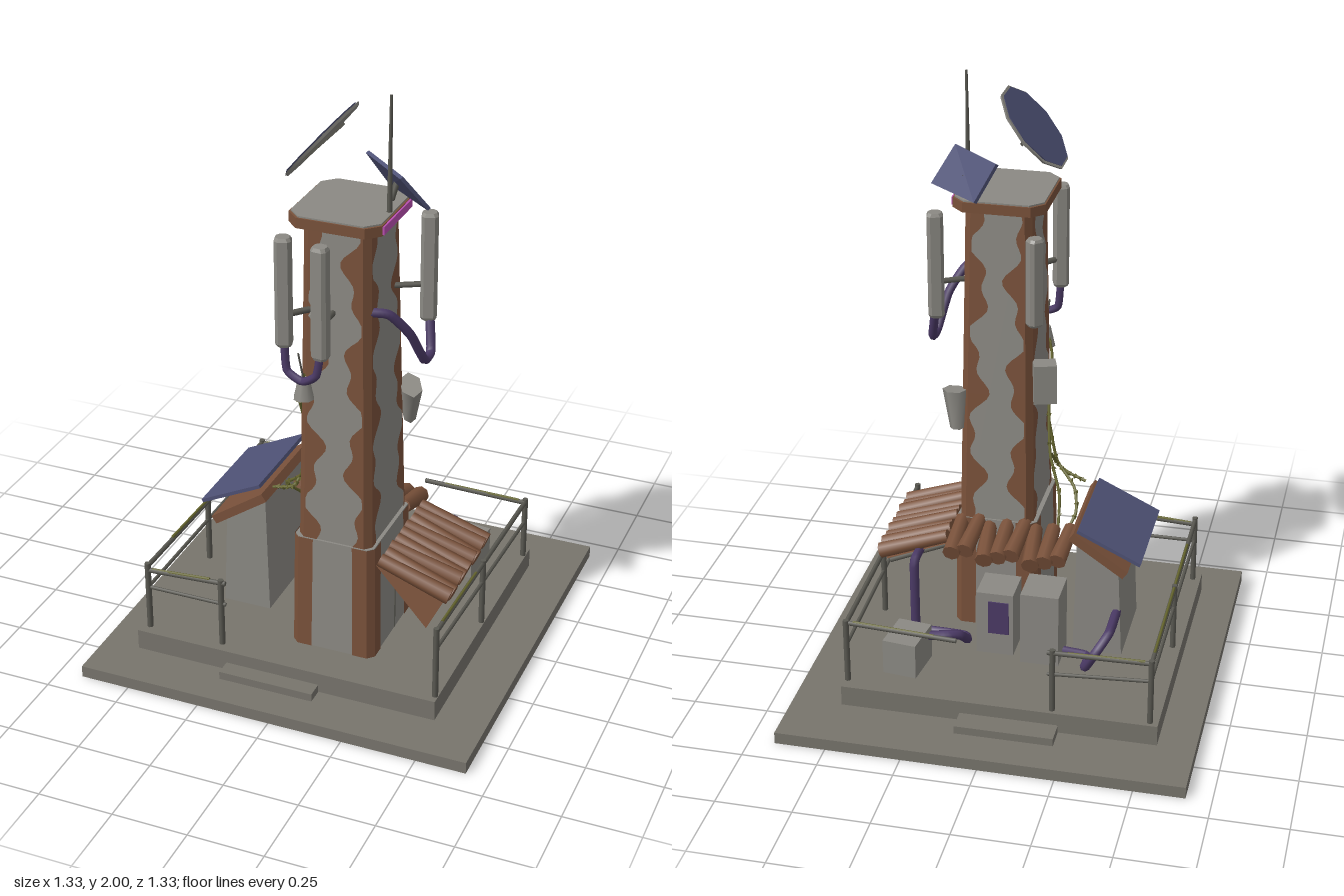
import * as THREE from 'three';

const V = (p) => new THREE.Vector3(...p);
const mat = (name, color, double) => {
  const m = new THREE.MeshStandardMaterial({ color, side: double ? THREE.DoubleSide : THREE.FrontSide });
  m.name = name;
  return m;
};

export function createModel() {
  const root = new THREE.Group();
  root.name = 'relayTower';
  const ground = mat('groundConcrete', 0x77746c);
  const wall = mat('paleConcrete', 0x8b8983, true);
  const rust = mat('rustBrown', 0x79513a, true);
  const navy = mat('solarNavy', 0x4e5175, true);
  const purple = mat('cablePurple', 0x4b3a66);
  const steel = mat('darkSteel', 0x5a5952);
  const moss = mat('mossOlive', 0x66662f, true);
  const pink = mat('signPink', 0xb94fb0);

  const add = (name, geo, m, pos = [0, 0, 0], rot = [0, 0, 0]) => {
    const o = new THREE.Mesh(geo, m);
    o.name = name;
    o.position.set(...pos);
    o.rotation.set(...rot);
    root.add(o);
    return o;
  };
  const box = (name, size, m, pos, rot) => add(name, new THREE.BoxGeometry(...size), m, pos, rot);
  // Round bar between two points
  const bar = (name, a, b, m, r0 = 0.008, r1 = r0, sides = 6) => {
    const d = V(b).sub(V(a));
    const g = new THREE.CylinderGeometry(r1, r0, d.length(), sides);
    const o = add(name, g, m, V(a).add(V(b)).multiplyScalar(0.5).toArray());
    o.quaternion.setFromUnitVectors(new THREE.Vector3(0, 1, 0), d.normalize());
    return o;
  };
  const tube = (name, pts, m, r) =>
    add(name, new THREE.TubeGeometry(new THREE.CatmullRomCurve3(pts.map(V), false, 'catmullrom', 0.3), pts.length * 6, r, 7), m);
  // Surface through rows of points, flat shaded; closed rows get caps
  const loft = (rows, closed = true) => {
    const n = rows[0].length, pos = [];
    const tri = (...p) => p.forEach((q) => pos.push(...q));
    for (let j = 0; j + 1 < rows.length; j++) {
      for (let i = 0; i < (closed ? n : n - 1); i++) {
        const k = (i + 1) % n, a = rows[j], b = rows[j + 1];
        tri(a[i], b[i], a[k]);
        tri(a[k], b[i], b[k]);
      }
    }
    if (closed) {
      const a = rows[0], b = rows[rows.length - 1];
      for (let i = 1; i + 1 < n; i++) {
        tri(a[0], a[i], a[i + 1]);
        tri(b[0], b[i + 1], b[i]);
      }
    }
    const g = new THREE.BufferGeometry();
    g.setAttribute('position', new THREE.Float32BufferAttribute(pos, 3));
    g.computeVertexNormals();
    return g;
  };
  // Rectangle with cut corners at height y
  const sect = (y, x0, x1, z0, z1, c) => [
    [x1, y, z0 + c], [x1, y, z1 - c], [x1 - c, y, z1], [x0 + c, y, z1],
    [x0, y, z1 - c], [x0, y, z0 + c], [x0 + c, y, z0], [x1 - c, y, z0]];

  // Ground slab, platform and steps
  box('groundSlab', [1.334, 0.04, 1.334], ground, [0, 0.02, 0]);
  box('platform', [1.045, 0.07, 0.967], ground, [-0.02, 0.075, 0.018]);
  box('frontStep', [0.325, 0.028, 0.06], ground, [-0.058, 0.053, 0.528]);
  box('backStep', [0.325, 0.028, 0.08], ground, [-0.058, 0.053, -0.503]);

  // Tower: plinth and tapering shaft
  const plinth = [[0.11, -0.045, 0.235, 0.012, 0.362], [0.515, -0.04, 0.23, 0.02, 0.355]];
  const shaft = [[0.515, -0.025, 0.218, 0.026, 0.348], [1.6, -0.008, 0.203, 0.078, 0.328]];
  const CH = 0.018;
  [['towerPlinth', plinth], ['towerShaft', shaft]].forEach(([name, s]) =>
    add(name, loft(s.map((r) => sect(...r, CH))), wall));

  // Rust wrapped round every tower corner, with a wavy edge on the shaft
  const rustCorner = (name, [lo, hi], sx, sz, width, count) => {
    const rows = [], e = 0.003;
    for (let j = 0; j <= count; j++) {
      const t = j / count;
      const [y, x0, x1, z0, z1] = lo.map((v, i) => THREE.MathUtils.lerp(v, hi[i], t));
      const X = sx > 0 ? x1 : x0, Z = sz > 0 ? z1 : z0;
      const wa = width(y, sx * 1.7 + sz * 0.9), wb = width(y, sx * 2.3 - sz * 1.4);
      rows.push([
        [X - sx * (CH + wa), y, Z + sz * e], [X - sx * CH, y, Z + sz * e],
        [X + sx * e, y, Z - sz * CH], [X + sx * e, y, Z - sz * (CH + wb)]]);
    }
    add(name, loft(rows, false), rust);
  };
  const wavy = (y, p) => Math.max(0.005, 0.034 + 0.024 * Math.sin(y * 19 + p * 2) + 0.018 * Math.sin(y * 43 + p * 5));
  for (const sx of [-1, 1]) for (const sz of [-1, 1]) {
    rustCorner('shaftRust', shaft, sx, sz, wavy, 60);
    rustCorner('plinthRust', plinth, sx, sz, () => 0.05, 1);
  }
  box('towerDoorSeam', [0.006, 0.26, 0.006], steel, [0.233, 0.24, 0.16]);

  // Cap
  add('capRim', loft([1.595, 1.628].map((y) => sect(y, -0.055, 0.245, 0.045, 0.367, 0.04))), rust);
  add('capTop', loft([1.628, 1.633].map((y) => sect(y, -0.05, 0.24, 0.05, 0.362, 0.04))), wall);
  box('capSign', [0.008, 0.026, 0.23], pink, [0.247, 1.612, 0.21]);

  // Dish, mast and small solar panel on the cap
  const dish = new THREE.Group();
  dish.name = 'dish';
  const disc = (name, r, h, y, m) => {
    const o = new THREE.Mesh(new THREE.CylinderGeometry(r, r * 0.97, h, 10), m);
    o.name = name;
    o.position.y = y;
    dish.add(o);
  };
  disc('dishBack', 0.158, 0.008, 0, wall);
  disc('dishFace', 0.15, 0.005, 0.006, navy);
  const rib = new THREE.Mesh(new THREE.BoxGeometry(0.01, 0.008, 0.3), steel);
  rib.name = 'dishRib';
  rib.position.y = -0.007;
  dish.add(rib);
  dish.position.set(0.013, 1.828, 0.225);
  dish.rotation.z = 0.863;
  root.add(dish);
  bar('mast', [0.23, 1.62, 0.23], [0.232, 2.0, 0.23], steel, 0.009, 0.004);
  const low = [[0.16, 1.635, 0.03], [0.335, 1.635, 0.17]], high = [[0.27, 1.75, 0.235], [0.1, 1.75, 0.08]];
  const quad = [...low, ...high];
  const shift = (d) => quad.map(([x, y, z]) => [x + d * 0.6, y + d * 0.5, z - d * 0.6]);
  add('smallSolarPanel', loft([shift(-0.008), shift(0.004)]), navy);
  bar('smallPanelStrut', [0.2, 1.62, 0.15], [0.215, 1.69, 0.13], steel, 0.01);

  // Tall antenna panels around the shaft
  [[-0.04, 1.4, 0.405, 0.36, 0.3], [0.09, 1.395, 0.43, 0.37, -0.1],
    [0.3, 1.4, 0.068, 0.36, 0.3], [-0.03, 1.378, 0.045, 0.3, 0.75]].forEach(([x, y, z, h, turn]) => {
    const g = loft([[-0.5, 0.8], [-0.47, 1], [0.47, 1], [0.5, 0.8]].map(([t, s]) =>
      sect(t * h, -0.026 * s, 0.026 * s, -0.024 * s, 0.024 * s, 0.01)));
    add('antennaPanel', g, wall, [x, y, z], [0, turn, 0]);
  });
  bar('antennaArm', [-0.04, 1.32, 0.4], [0.03, 1.32, 0.32], steel, 0.01);
  bar('antennaArm', [0.09, 1.32, 0.42], [0.09, 1.32, 0.32], steel, 0.01);
  bar('antennaArm', [0.3, 1.34, 0.07], [0.19, 1.34, 0.13], steel, 0.01);
  tube('frontCable', [[-0.04, 1.23, 0.405], [-0.03, 1.14, 0.41], [0.025, 1.115, 0.42], [0.075, 1.15, 0.43], [0.09, 1.23, 0.43]], purple, 0.013);
  tube('sideCable', [[0.19, 1.33, 0.31], [0.25, 1.32, 0.28], [0.3, 1.24, 0.23], [0.325, 1.13, 0.17], [0.325, 1.13, 0.11], [0.305, 1.23, 0.07]], purple, 0.015);

  // Small fittings on the shaft
  add('sensor', new THREE.IcosahedronGeometry(0.032, 0), wall, [0.048, 1.31, 0.345]);
  add('lamp', new THREE.CylinderGeometry(0.018, 0.034, 0.07, 8), wall, [0.0, 1.055, 0.352]);
  bar('lampWire', [0.0, 1.08, 0.352], [-0.01, 1.18, 0.37], steel, 0.003);
  box('junctionBox', [0.075, 0.135, 0.06], wall, [-0.058, 1.022, 0.068], [0, 0.3, 0]);
  add('floodlight', new THREE.CylinderGeometry(0.062, 0.036, 0.13, 6), wall, [0.235, 0.905, 0.045], [0.25, 0.5, -0.12]).scale.x = 0.6;

  // Vines hanging down to the lean-to roof
  const vines = [
    [[0.0, 1.1, 0.35], [-0.03, 1.0, 0.32], [-0.035, 0.85, 0.25], [-0.055, 0.7, 0.18], [-0.1, 0.58, 0.12], [-0.11, 0.46, 0.04]],
    [[-0.04, 0.8, 0.23], [-0.07, 0.66, 0.22], [-0.14, 0.59, 0.17], [-0.16, 0.53, 0.1], [-0.12, 0.45, 0.02]],
    [[-0.06, 0.7, 0.18], [-0.09, 0.62, 0.23], [-0.17, 0.59, 0.22]]];
  vines.forEach((p, k) => {
    tube('vine', p, moss, 0.005);
    const c = new THREE.CatmullRomCurve3(p.map(V));
    for (let i = 1; i < 9; i++)
      add('vineLeaf', new THREE.TetrahedronGeometry(0.012), moss, c.getPoint(i / 9).toArray(), [i, i * 2 + k, i * 3]);
  });

  // Hut with sloping roof and solar panel
  const hutBase = [[-0.19, -0.08], [-0.19, 0.22], [-0.355, 0.22], [-0.355, -0.08]];
  add('hutWalls', loft([
    hutBase.map(([x, z]) => [x, 0.11, z]),
    hutBase.map(([x, z]) => [x < -0.3 ? -0.34 : -0.2, x < -0.3 ? 0.44 : 0.54, z])]), wall);
  box('hutRoof', [0.22, 0.03, 0.38], rust, [-0.278, 0.502, 0.07], [0, 0, 0.6]);
  box('largeSolarPanel', [0.232, 0.012, 0.37], navy, [-0.315, 0.541, 0.055], [0, 0, 0.45]);
  bar('panelStrut', [-0.37, 0.45, 0.05], [-0.37, 0.51, 0.05], steel);

  // Tiled lean-to roofs on the right and at the back
  for (let i = 0; i < 9; i++) {
    const z = -0.04 + i * 0.045, w = 0.008 * Math.sin(i * 2.4);
    bar('sideRoofTile', [0.245, 0.47 + w * 0.5, z + w], [0.48, 0.385 + w, z - w], rust, 0.022, 0.028, 8);
  }
  for (let i = 0; i < 8; i++) {
    const x = -0.15 + i * 0.052, w = 0.01 * Math.sin(i * 2.1 + 1);
    bar('backRoofTile', [x - w, 0.5 + w, 0.035], [x + w, 0.455 + w, -0.125 + w], rust, 0.024, 0.03, 8);
  }
  add('sideRoofBoard', loft([
    [[0.235, 0.45, -0.05], [0.235, 0.45, 0.33]], [[0.46, 0.36, -0.05], [0.455, 0.355, 0.465]]], false), rust);
  bar('sideRoofBeam', [0.23, 0.44, 0.3], [0.45, 0.345, 0.3], steel);
  bar('sideRoofBeam', [0.23, 0.44, -0.03], [0.45, 0.345, -0.03], steel);

  // Equipment cabinets behind the tower
  box('cabinet', [0.128, 0.26, 0.14], wall, [-0.1, 0.24, -0.125]);
  box('cabinet', [0.125, 0.23, 0.13], wall, [0.058, 0.225, -0.098]);
  box('cabinetStain', [0.07, 0.12, 0.006], purple, [0.045, 0.25, -0.164]);
  box('generator', [0.115, 0.122, 0.145], wall, [0.325, 0.171, -0.288], [0, -0.12, 0]);

  // Pipes
  tube('generatorPipe', [[0.29, 0.19, -0.235], [0.2, 0.21, -0.238], [0.163, 0.2, -0.215], [0.155, 0.145, -0.15],
    [0.18, 0.14, -0.12], [0.335, 0.14, -0.115]], purple, 0.016);
  tube('risingPipe', [[0.345, 0.14, -0.21], [0.345, 0.14, -0.12], [0.345, 0.16, -0.112], [0.345, 0.38, -0.112],
    [0.345, 0.405, -0.09], [0.345, 0.405, -0.03]], purple, 0.016);
  tube('hutPipe', [[-0.335, 0.27, -0.07], [-0.335, 0.27, -0.2], [-0.3, 0.22, -0.255], [-0.262, 0.15, -0.24],
    [-0.255, 0.135, -0.15], [-0.17, 0.135, -0.135]], purple, 0.016);

  // Railings: two rails and posts per run, with moss on the top rail
  const runs = [
    [[-0.515, -0.445], [-0.515, 0.463], 0.33, 0.345, [0, 0.5, 1]],
    [[-0.515, 0.463], [-0.235, 0.463], 0.33, 0.345, [0.94]],
    [[-0.515, -0.445], [-0.18, -0.445], 0.33, 0.325, [0.95]],
    [[0.492, 0.47], [0.492, -0.42], 0.355, 0.325, [0, 0.5, 1]],
    [[0.492, -0.415], [0.12, -0.435], 0.325, 0.32, []]];
  runs.forEach(([a, b, ya, yb, posts]) => {
    const at = (t, y) => [a[0] + (b[0] - a[0]) * t, y, a[1] + (b[1] - a[1]) * t];
    bar('topRail', at(0, ya), at(1, yb), steel);
    bar('railMoss', at(0.06, ya + 0.005), at(0.8, yb + 0.005), moss, 0.005);
    if (posts.length) bar('midRail', at(0, ya - 0.065), at(1, yb - 0.08), steel, 0.006);
    posts.forEach((t) => bar('railPost', at(t, 0.1), at(t, ya + (yb - ya) * t + 0.012), steel, 0.01));
  });
  return root;
}
